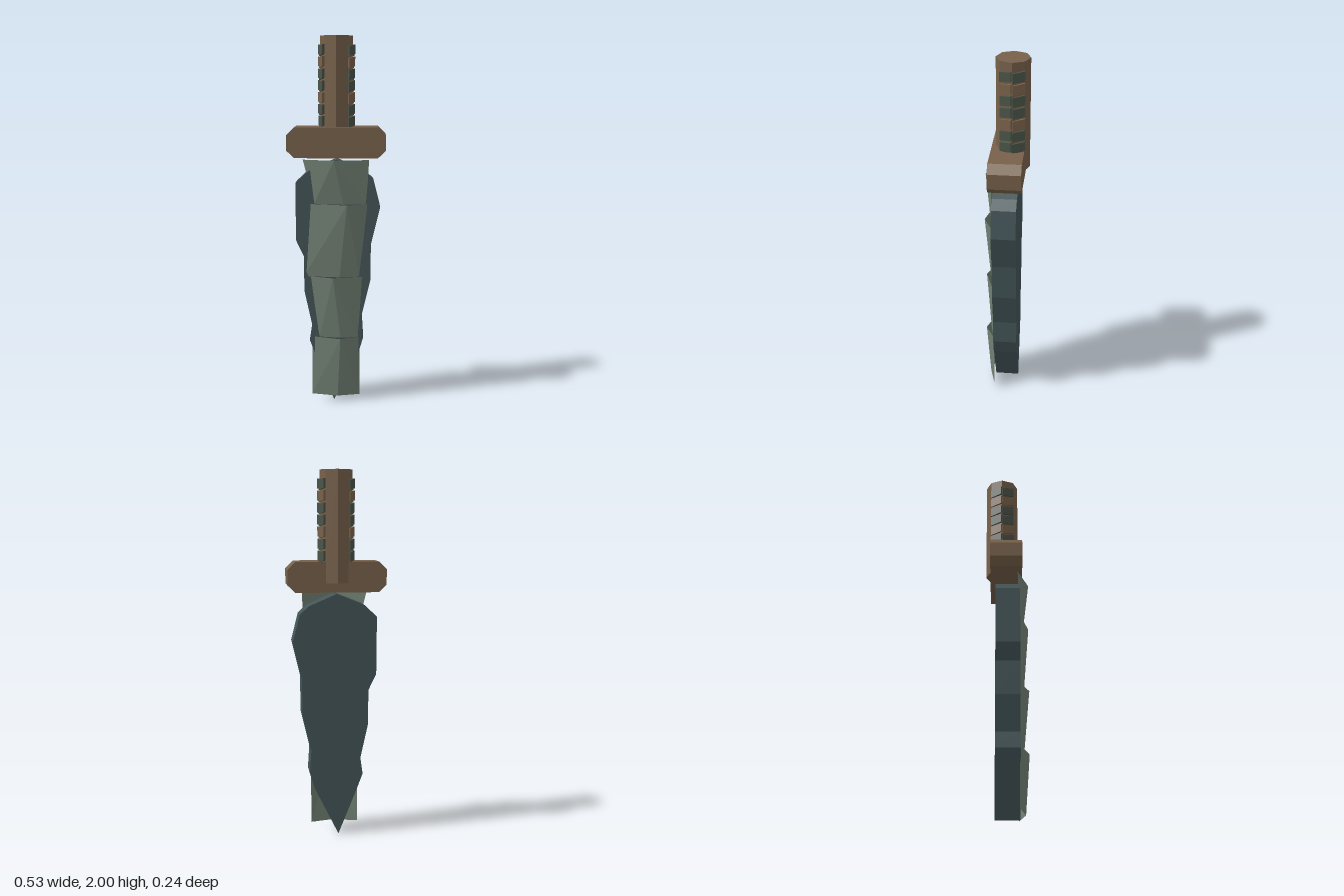
import * as THREE from 'three';

const flat = (name, color) => {
  const m = new THREE.MeshStandardMaterial({ color, flatShading: true, side: THREE.DoubleSide });
  m.name = name;
  return m;
};

export function createModel() {
  const wood = flat('brown wood', 0x78614a);
  const slate = flat('dark slate', 0x435457);
  const stone = flat('grey green stone', 0x718073);
  const cord = flat('dark cord', 0x4a5448);

  const model = new THREE.Group();
  model.name = 'dagger';
  const add = (name, geometry, material, parent = model) => {
    const mesh = new THREE.Mesh(geometry, material);
    mesh.name = name;
    parent.add(mesh);
    return mesh;
  };

  // Extrudes an x/y outline between two depths
  const slab = (points, z0, z1) => {
    const shape = new THREE.Shape(points.map(([x, y]) => new THREE.Vector2(x, y)));
    return new THREE.ExtrudeGeometry(shape, { depth: z1 - z0, bevelEnabled: false }).translate(0, 0, z0);
  };

  // Rough chipped blade, point down
  add('blade', slab([
    [-0.01, 0], [0.12, 0.26], [0.148, 0.35], [0.14, 0.48], [0.188, 0.68], [0.19, 0.88],
    [0.238, 1.08], [0.2, 1.23], [0.15, 1.275], [0.0, 1.34], [-0.15, 1.28], [-0.22, 1.215],
    [-0.218, 0.9], [-0.175, 0.81], [-0.174, 0.62], [-0.132, 0.43], [-0.145, 0.34], [-0.115, 0.26],
  ], -0.065, 0.067), slate);

  // Overlapping ridged plates: each has a top and a bottom row of left, ridge, right points
  const plates = [
    [[-0.18, 1.34, 0.055], [-0.01, 1.34, 0.117], [0.178, 1.34, 0.068],
      [-0.12, 1.1, 0.066], [0.04, 1.1, 0.088], [0.165, 1.1, 0.066]],
    [[-0.157, 1.1, 0.062], [0.06, 1.1, 0.117], [0.17, 1.1, 0.068],
      [-0.175, 0.7, 0.064], [0.02, 0.7, 0.088], [0.128, 0.7, 0.066]],
    [[-0.155, 0.7, 0.06], [-0.015, 0.7, 0.117], [0.145, 0.7, 0.066],
      [-0.09, 0.36, 0.068], [0.025, 0.36, 0.088], [0.12, 0.36, 0.068]],
    [[-0.132, 0.36, 0.062], [0.025, 0.36, 0.117], [0.13, 0.36, 0.064],
      [-0.132, 0.03, 0.062], [0.01, 0.03, 0.095], [0.13, 0.03, 0.062]],
  ];
  const facing = new THREE.Group();
  facing.name = 'blade plates';
  model.add(facing);
  plates.forEach((points, i) => {
    const g = new THREE.BufferGeometry();
    g.setAttribute('position', new THREE.Float32BufferAttribute(points.flat(), 3));
    g.setIndex([0, 3, 1, 3, 4, 1, 1, 4, 5, 1, 5, 2]);
    g.computeVertexNormals();
    add(`plate ${i + 1}`, g, stone, facing);
  });

  // Crossguard with chamfered ends
  add('crossguard', slab([
    [-0.225, 1.35], [0.225, 1.35], [0.267, 1.39], [0.267, 1.473],
    [0.225, 1.515], [-0.225, 1.515], [-0.267, 1.473], [-0.267, 1.39],
  ], -0.095, 0.08), wood);

  // Eight-sided handle
  const handle = add('handle', new THREE.CylinderGeometry(0.089, 0.089, 0.6, 8), wood);
  handle.position.set(0, 1.7, -0.031);

  // Slanted wrap bands on the two side faces of each handle side
  const wraps = new THREE.Group();
  wraps.name = 'handle wraps';
  model.add(wraps);
  for (const turn of [0, Math.PI]) {
    for (let row = 0; row < 7; row++) {
      for (const half of [1, -1]) {
        const g = new THREE.BoxGeometry(0.014, 0.052, 0.066);
        const p = g.attributes.position;
        for (let i = 0; i < p.count; i++) {
          p.setY(i, p.getY(i) + p.getZ(i) * -0.14);
          // The outer face flares towards one end
          if (p.getX(i) > 0) p.setX(i, p.getX(i) + (p.getZ(i) < 0 ? 0.004 : -0.002));
        }
        g.translate(0.084, 0, 0).rotateY(half * Math.PI / 8).rotateY(turn);
        const band = add('wrap band', g, row % 3 === 1 ? wood : cord, wraps);
        band.position.set(0, 1.923 - row * 0.0635, -0.031);
      }
    }
  }

  return model;
}
